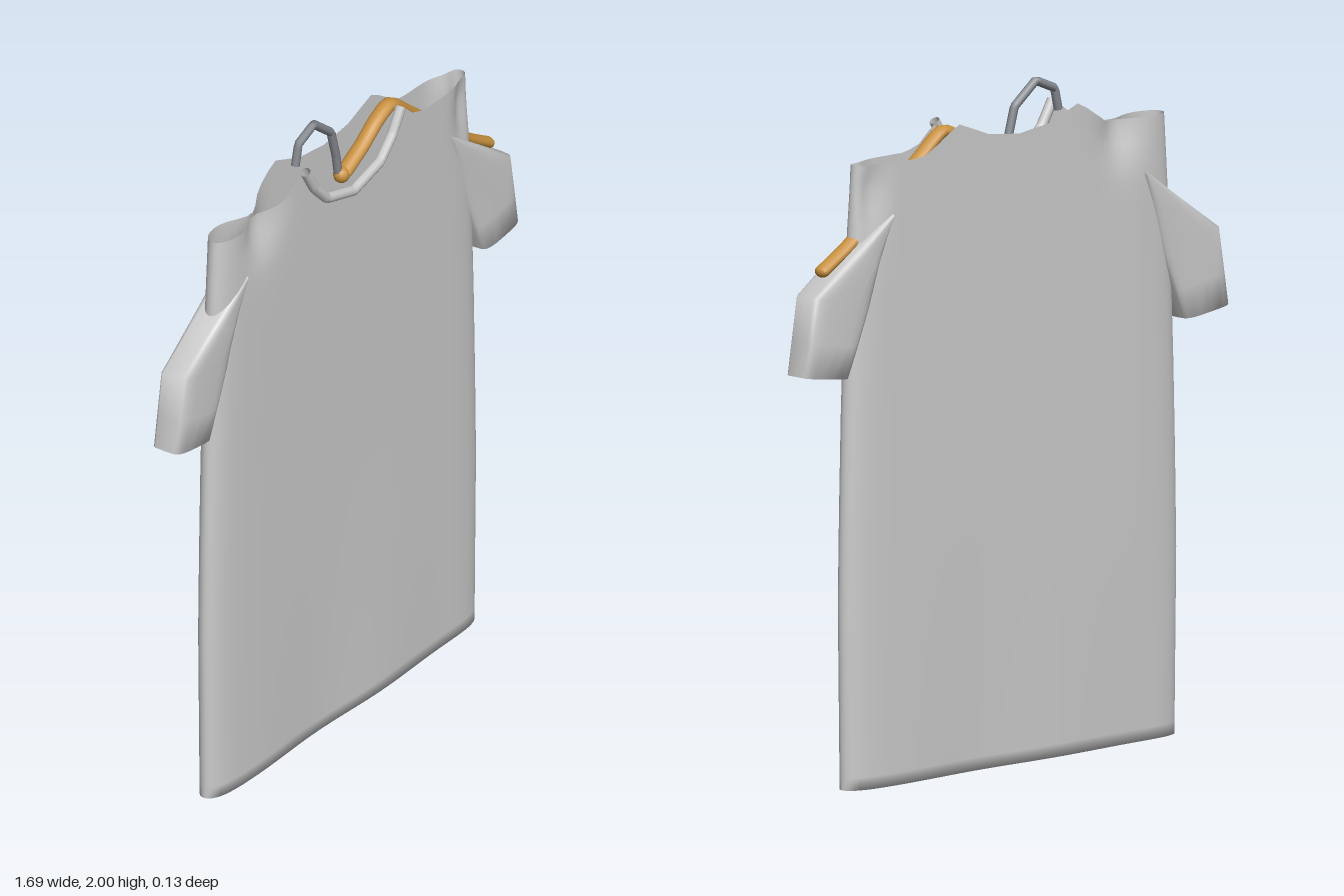
import * as THREE from 'three';

const cloth = new THREE.MeshStandardMaterial({ color: 0xcccccc, side: THREE.DoubleSide });
const wood = new THREE.MeshStandardMaterial({ color: 0xc8913f });
const metal = new THREE.MeshStandardMaterial({ color: 0x85898e });

// Skin a list of closed rings of points with smooth normals
function loft(rings) {
  const n = rings[0].length, index = [];
  for (let r = 0; r < rings.length - 1; r++) {
    for (let i = 0; i < n; i++) {
      const a = r * n + i, b = r * n + (i + 1) % n;
      index.push(a, b, b + n, a, b + n, a + n);
    }
  }
  const g = new THREE.BufferGeometry();
  g.setAttribute('position', new THREE.Float32BufferAttribute(rings.flat(2), 3));
  g.setIndex(index);
  g.computeVertexNormals();
  return g;
}

// Piecewise-linear lookup through [x, y] points
function lerpAt(points, x) {
  for (let i = 1; i < points.length; i++) {
    const [x0, y0] = points[i - 1], [x1, y1] = points[i];
    if (x <= x1) return y0 + (y1 - y0) * Math.max(0, (x - x0) / (x1 - x0));
  }
  return points[points.length - 1][1];
}

function tube(points, z, radius, sides, tension = 0) {
  const curve = new THREE.CatmullRomCurve3(
    points.map(([x, y]) => new THREE.Vector3(x, y, z)), false, 'catmullrom', tension);
  return new THREE.TubeGeometry(curve, points.length * 6, radius, sides);
}

const halfWidth = [[0, 0.657], [0.6, 0.665], [1.2, 0.65], [1.6, 0.63], [1.83, 0.615], [2, 0.615]];
const frontTop = [[0, 1.735], [0.1, 1.76], [0.16, 1.80], [0.24, 1.91], [0.3, 1.85], [0.36, 1.83], [1, 1.83]];
const backTop = [[0, 1.85], [0.12, 1.865], [0.24, 1.91], [0.32, 1.86], [0.38, 1.83], [1, 1.83]];
const bump = (x, y, cx, cy, rx, ry) => Math.exp(-(((x - cx) / rx) ** 2) - ((y - cy) / ry) ** 2);

// Flat shirt body: closed hem, open along the shoulders and neck
function bodyGeometry() {
  const N = 48, outline = [];
  for (const face of [-1, 1]) {
    for (let i = 0; i < N; i++) {
      const s = -face * Math.cos(Math.PI * i / N);
      const depth = Math.sqrt(Math.max(0, 1 - Math.abs(s) ** 14));
      outline.push({ s, face, depth: i === 0 ? 0 : depth });
    }
  }
  const levels = [0, 0, 0.02, 0.06, 0.15, 0.3, 0.45, 0.6, 0.7, 0.8, 0.86, 0.9, 0.93, 0.96, 0.98, 1];
  const rings = levels.map((v, row) => outline.map(({ s, face, depth }) => {
    const top = lerpAt(face > 0 ? frontTop : backTop, Math.abs(s) * 0.615);
    const y = v * top;
    const x = s * lerpAt(halfWidth, y);
    let z = face * depth * (face > 0 ? 0.045 : 0.05);
    // crumpled shoulder folds
    z *= 1 - 0.9 * bump(x, y, -0.42, 1.82, 0.07, 0.09) - 0.6 * bump(x, y, 0.57, 1.75, 0.04, 0.1);
    if (row === 0) z = 0;
    // gentle ripple that fades out above the hem
    z += 0.006 * Math.sin(x * 9) * Math.max(0, 1 - y / 0.7) * (1 - s * s);
    return [x, y, z];
  }));
  return loft(rings);
}

// Flattened sleeve from shoulder point to cuff
function sleeveGeometry(side) {
  const sections = [
    [0.50, 1.68, 0.505, 1.66], [0.655, 1.575, 0.55, 1.53], [0.81, 1.47, 0.585, 1.41],
    [0.83, 1.34, 0.63, 1.305], [0.845, 1.24, 0.67, 1.217],
  ];
  const N = 24, pow = (c, e) => Math.sign(c) * Math.abs(c) ** e;
  const rings = sections.map(([ax, ay, bx, by]) => Array.from({ length: N }, (_, i) => {
    const t = i / N * 2 * Math.PI;
    const k = pow(Math.cos(t), 0.6) / 2, z = pow(Math.sin(t), 0.35) * 0.053 - 0.005;
    return [side * ((ax + bx) / 2 + (ax - bx) * k), (ay + by) / 2 + (ay - by) * k, z];
  }));
  // close both ends onto the middle line
  const flat = (ring) => ring.map(([x, y]) => [x, y, -0.005]);
  rings.unshift(flat(rings[0]));
  rings.push(flat(rings[rings.length - 1]));
  return loft(side > 0 ? rings : rings.reverse());
}

export function createModel() {
  const model = new THREE.Group();
  const add = (name, geometry, material) => {
    const mesh = new THREE.Mesh(geometry, material);
    mesh.name = name;
    model.add(mesh);
    return mesh;
  };

  add('shirtBody', bodyGeometry(), cloth);
  add('leftSleeve', sleeveGeometry(1), cloth);
  add('rightSleeve', sleeveGeometry(-1), cloth);

  // Chest and back panels
  const panel = new THREE.PlaneGeometry(0.5, 0.64);
  add('frontPanel', panel, cloth).position.set(0, 1.15, 0.047);
  const back = add('backPanel', panel, cloth);
  back.position.set(0, 1.15, -0.052);
  back.rotation.y = Math.PI;

  // Collar band across the front neckline
  const collar = [[-0.235, 1.905], [-0.19, 1.83], [-0.13, 1.77], [0, 1.735],
    [0.13, 1.77], [0.19, 1.83], [0.235, 1.905]];
  add('collar', tube(collar, 0.056, 0.016, 8), cloth);

  // Hanger arm resting in the shoulder, with a rounded tip
  const arm = [[0.03, 1.76], [0.12, 1.81], [0.19, 1.86], [0.26, 1.885],
    [0.36, 1.81], [0.62, 1.605], [0.735, 1.535]];
  const armGeometry = tube(arm, 0, 0.018, 12, 0.3).scale(1, 1, 1.4);
  add('hangerArm', armGeometry, wood);
  const tip = add('hangerTip', new THREE.SphereGeometry(0.018, 12, 8), wood);
  tip.position.set(0.735, 1.535, 0);
  tip.scale.z = 1.4;
  const hub = add('hangerHub', new THREE.SphereGeometry(0.025, 12, 8), wood);
  hub.position.set(0.02, 1.76, 0);

  // Wire hook
  const hook = [[0.01, 1.77], [0, 1.83], [-0.025, 1.92], [-0.11, 1.986], [-0.185, 1.955], [-0.2, 1.89]];
  add('hangerHook', tube(hook, -0.005, 0.013, 8), metal);

  return model;
}
